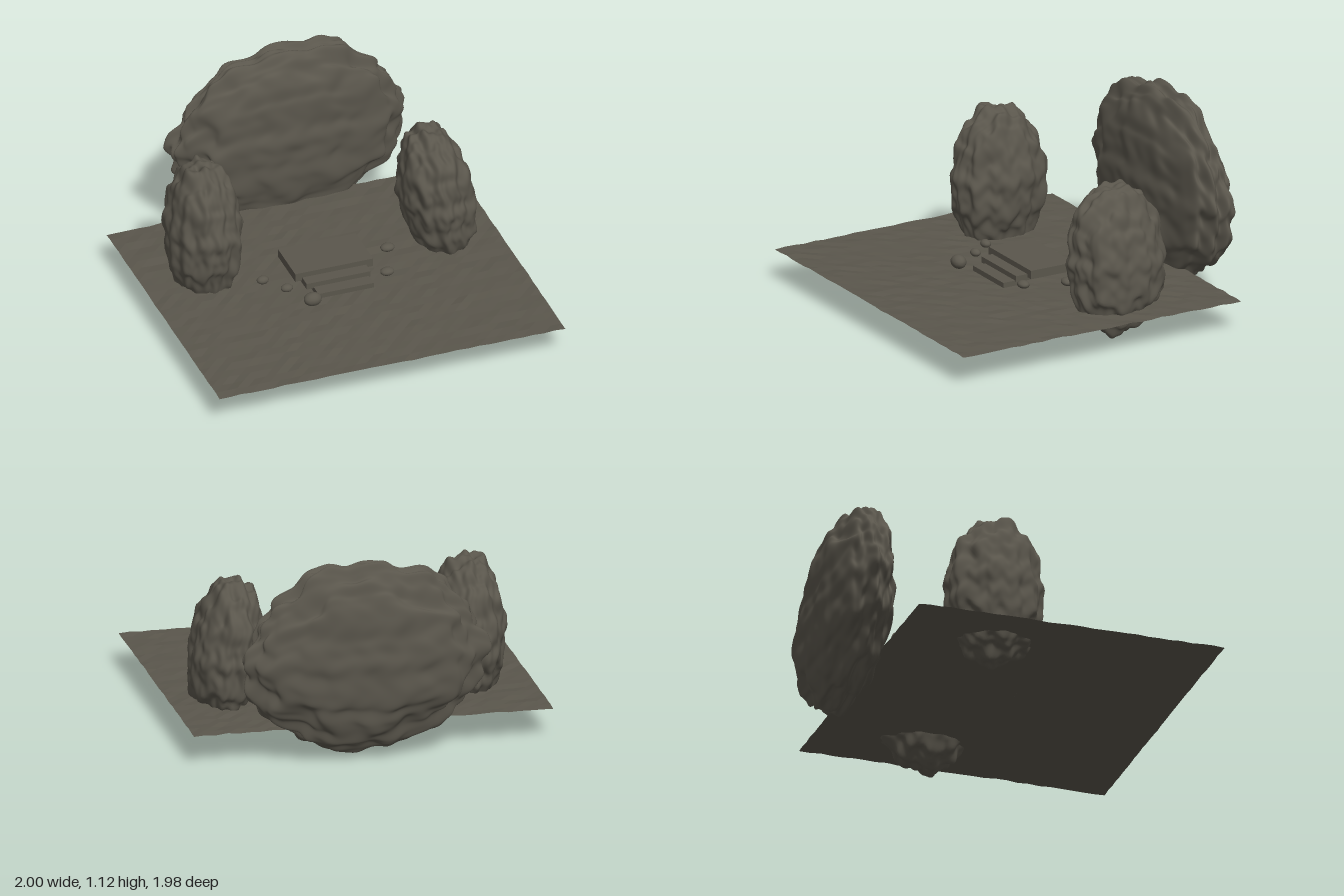
import * as THREE from 'three';
import { mergeVertices } from 'three/addons/utils/BufferGeometryUtils.js';

const stone = new THREE.MeshStandardMaterial({ color: 0x5a564c });
const soil = new THREE.MeshStandardMaterial({ color: 0x5a564c, side: THREE.DoubleSide, flatShading: true });

// Smooth lumpy field, roughly -1..1
function lumps(p, f, s) {
  const a = Math.sin(p.x * f + s + 1.3 * Math.sin(p.y * f * 0.6 + s));
  const b = Math.sin(p.y * f * 1.1 + 2 * s + 1.3 * Math.sin(p.z * f * 0.7));
  const c = Math.sin(p.z * f * 0.9 + 3 * s + 1.3 * Math.sin(p.x * f * 0.5 + s));
  return (a + b + c) / 3;
}

function seeded(seed) {
  return () => {
    seed = (seed * 16807) % 2147483647;
    return seed / 2147483647;
  };
}

// Sphere pushed in and out along its radius, then stretched and leaned
function boulder(name, centre, radii, { seed = 1, rough = 1, lean = 0, detail = 28 } = {}) {
  let geo = new THREE.IcosahedronGeometry(1, detail);
  geo.deleteAttribute('normal');
  geo.deleteAttribute('uv');
  geo = mergeVertices(geo, 1e-4);
  const pos = geo.attributes.position;
  const p = new THREE.Vector3();
  for (let i = 0; i < pos.count; i++) {
    p.fromBufferAttribute(pos, i);
    const r = 1 + rough * (0.05 * lumps(p, 5, seed) + 0.06 * lumps(p, 14, seed + 2) + 0.025 * lumps(p, 27, seed + 5));
    p.multiplyScalar(r);
    pos.setXYZ(i, p.x * radii[0] + lean * p.y, p.y * radii[1], p.z * radii[2]);
  }
  geo.computeVertexNormals();
  const mesh = new THREE.Mesh(geo, stone);
  mesh.name = name;
  mesh.position.set(...centre);
  return mesh;
}

// Slightly uneven ground sheet
function ground() {
  const geo = new THREE.PlaneGeometry(2, 1.75, 32, 28).rotateX(-Math.PI / 2);
  const pos = geo.attributes.position;
  const rand = seeded(77);
  for (let i = 0; i < pos.count; i++) pos.setY(i, (rand() - 0.5) * 0.008);
  geo.computeVertexNormals();
  const mesh = new THREE.Mesh(geo, soil);
  mesh.name = 'ground';
  mesh.position.set(0, 0.18, 0.125);
  return mesh;
}

// Stone slab given by its limits on each axis
function slab(name, [x0, x1], [y0, y1], [z0, z1]) {
  const mesh = new THREE.Mesh(new THREE.BoxGeometry(x1 - x0, y1 - y0, z1 - z0), stone);
  mesh.name = name;
  mesh.position.set((x0 + x1) / 2, (y0 + y1) / 2, (z0 + z1) / 2);
  return mesh;
}

export function createModel() {
  const model = new THREE.Group();
  model.name = 'rockShrine';
  model.add(ground());

  // Large rocks
  model.add(
    boulder('backCliff', [0.06, 0.58, -0.81], [0.67, 0.535, 0.165], { seed: 1.7, rough: 1.15, detail: 40 }),
    boulder('rightRock', [-0.655, 0.47, -0.2], [0.2, 0.425, 0.27], { seed: 4.1, rough: 1.2 }),
    boulder('leftRock', [0.675, 0.44, -0.15], [0.2, 0.41, 0.285], { seed: 8.3, rough: 1.2, lean: -0.04 })
  );

  // Platform with two steps in front
  const platform = new THREE.Group();
  platform.name = 'platform';
  platform.add(
    slab('topSlab', [-0.23, 0.22], [0.222, 0.27], [-0.16, 0.11]),
    slab('upperStep', [-0.19, 0.18], [0.205, 0.24], [0.07, 0.18]),
    slab('lowerStep', [-0.15, 0.17], [0.183, 0.212], [0.13, 0.255])
  );
  model.add(platform);

  // Pebbles: x, y, z, radius, half height
  const pebbles = [
    [-0.205, 0.23, 0.315, 0.05, 0.038],
    [-0.295, 0.225, 0.155, 0.034, 0.022],
    [-0.39, 0.225, 0.035, 0.034, 0.022],
    [0.272, 0.225, 0.19, 0.039, 0.022],
    [0.357, 0.225, -0.035, 0.04, 0.022]
  ];
  pebbles.forEach(([x, y, z, r, h], i) => {
    model.add(boulder('pebble' + (i + 1), [x, y, z], [r, h, r * 0.8], { seed: i, rough: 0.3, detail: 6 }));
  });

  return model;
}
